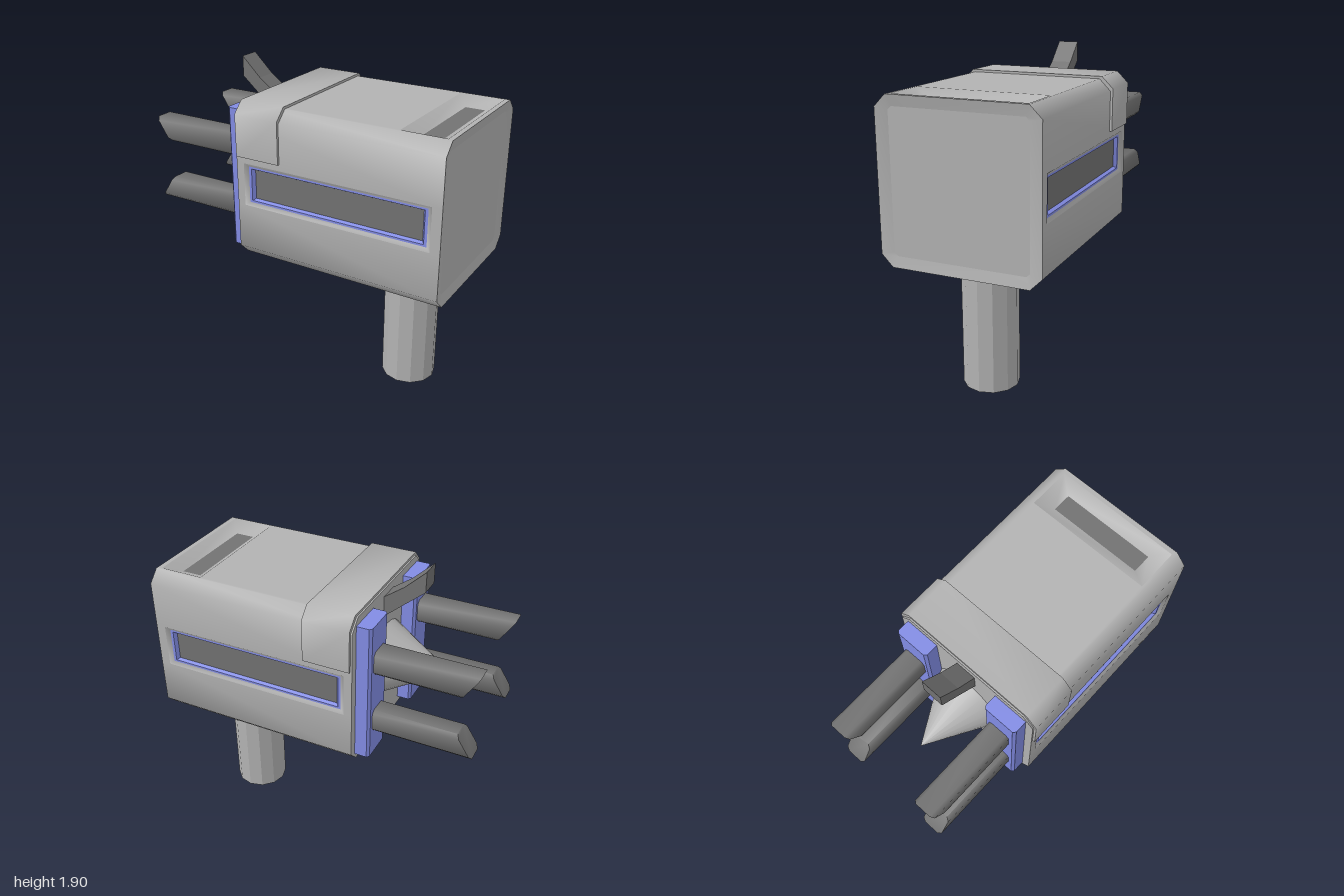
import * as THREE from 'three';
import { toCreasedNormals } from 'three/addons/utils/BufferGeometryUtils.js';

const material = (name, color, side = THREE.FrontSide) => {
  const m = new THREE.MeshStandardMaterial({ color, side });
  m.name = name;
  return m;
};

export function createModel() {
  const grey = material('light grey', 0xb2b2b2, THREE.DoubleSide);
  const dark = material('dark grey', 0x727272);
  const blue = material('periwinkle blue', 0x828ce4);
  const root = new THREE.Group();
  const CY = 1.2625; // height of the body axis

  const add = (name, geo, mat, parent = root) => {
    const mesh = new THREE.Mesh(geo, mat);
    mesh.name = name;
    parent.add(mesh);
    return mesh;
  };

  // Surface between two rows of points
  const loft = (a, b) => {
    const pos = [];
    for (let i = 0; i < a.length - 1; i++) {
      for (const p of [a[i], a[i + 1], b[i + 1], a[i], b[i + 1], b[i]]) pos.push(...p);
    }
    const geo = new THREE.BufferGeometry();
    geo.setAttribute('position', new THREE.Float32BufferAttribute(pos, 3));
    geo.computeVertexNormals();
    return toCreasedNormals(geo, 1);
  };
  // Strip along x with a [z, y] section
  const strip = (name, section, x0, x1) => add(name,
    loft(section.map(([z, y]) => [x0, y, z]), section.map(([z, y]) => [x1, y, z])), grey);

  // Corners of a square with cut corners
  const cutSquare = (w, h, c) => [[w, -h + c], [w, h - c], [w - c, h], [-w + c, h],
    [-w, h - c], [-w, -h + c], [-w + c, -h], [w - c, -h]];
  const toShape = pts => new THREE.Shape(pts.map(([x, y]) => new THREE.Vector2(x, y)));
  const extrude = (pts, depth) => new THREE.ExtrudeGeometry(toShape(pts), { depth, bevelEnabled: false });

  // Body shell, leaving openings for the sunken panels
  const X0 = -0.31, W = 0.485, TOP = 1.745, BOT = 0.78;
  strip('bodyLower', [[W, 1.13], [W, 0.85], [0.415, BOT], [-0.415, BOT], [-W, 0.85], [-W, 1.13]], X0, 1);
  strip('bodyFrontShoulder', [[0.4, TOP], [0.415, TOP], [W, 1.675], [W, 1.395]], X0, 1);
  strip('bodyBackShoulder', [[-W, 1.395], [-W, 1.675], [-0.415, TOP], [-0.4, TOP]], X0, 1);
  for (const [a, b] of [[X0, 0.7], [0.97, 1]]) strip('bodyTop', [[-0.4, TOP], [0.4, TOP]], a, b);
  for (const [a, b] of [[X0, -0.26], [0.94, 1]]) {
    strip('bodyFrontSide', [[W, 1.395], [W, 1.13]], a, b);
    strip('bodyBackSide', [[-W, 1.13], [-W, 1.395]], a, b);
  }

  // Body ends: plain cap on one side, rim and inset plate on the other
  const endLoop = (x, w, h, c) => {
    const pts = cutSquare(w, h, c).map(([z, y]) => [x, CY + y, z]).reverse();
    return [...pts, pts[0]];
  };
  const fan = (loop, x) => loft(loop, loop.map(() => [x, CY, 0]));
  const inner = endLoop(0.985, 0.41, 0.4175, 0.02);
  add('endRim', loft(endLoop(1, W, 0.4825, 0.07), inner), grey);
  add('endPlate', fan(inner, 0.985), grey);
  add('frontCap', fan(endLoop(X0, W, 0.4825, 0.07).reverse(), X0), grey);

  // Sunken rectangular panel: [halfWidth, halfHeight, depth] steps, then a floor
  const rect = ([w, h, d]) => [[-w, -h, d], [w, -h, d], [w, h, d], [-w, h, d], [-w, -h, d]];
  const recess = (name, steps, mats) => {
    const g = new THREE.Group();
    g.name = name;
    mats.forEach((m, i) => add(name + 'Frame', loft(rect(steps[i]), rect(steps[i + 1])), m, g));
    const [w, h, d] = steps[steps.length - 1];
    add(name + 'Floor', new THREE.PlaneGeometry(2 * w, 2 * h), dark, g).position.z = d;
    root.add(g);
    return g;
  };
  for (const turn of [0, Math.PI]) {
    const panel = recess('sidePanel', [[0.6, 0.1325, W], [0.575, 0.1125, W - 0.015],
      [0.557, 0.1, W - 0.015], [0.542, 0.09, W - 0.035]], [grey, blue, blue]);
    panel.position.set(0.34, CY, 0);
    panel.rotation.y = turn;
  }
  const slot = recess('topSlot', [[0.135, 0.4, 0], [0.06, 0.3, -0.05]], [grey]);
  slot.position.set(0.835, TOP, 0);
  slot.rotation.x = -Math.PI / 2;

  // Saddle collar over the top of the body
  const saddle = (w, y, c) => [[-w, 1.435], [-w, y - c], [-w + c, y], [w - c, y], [w, y - c], [w, 1.435]];
  const collar = extrude([...saddle(0.5, 1.76, 0.07), ...saddle(0.478, 1.738, 0.07).reverse()], 0.29);
  collar.rotateY(Math.PI / 2);
  add('collar', toCreasedNormals(collar, 1), grey).position.x = -0.3;

  // Handle post
  const post = new THREE.CylinderGeometry(0.168, 0.168, 0.8, 12).toNonIndexed();
  post.computeVertexNormals();
  add('handle', post, grey).position.set(0.632, 0.4, 0);

  // Pointed cone between the bars
  const cone = new THREE.ConeGeometry(0.23, 0.41, 24);
  cone.rotateZ(Math.PI / 2);
  add('cone', cone, grey).position.set(-0.515, CY, 0);

  // Blue bars, each carrying two rods with slanted tips
  for (const s of [1, -1]) {
    const bar = extrude([[-0.4, -0.095], [-0.385, -0.11], [-0.3, -0.11],
      [-0.3, 0.11], [-0.385, 0.11], [-0.4, 0.095]], 0.875);
    bar.rotateX(-Math.PI / 2);
    add('blueBar', bar, blue).position.set(0, 0.825, s * 0.325);

    for (const [y, dir] of [[1.065, -1], [1.457, 1]]) {
      const rod = extrude(cutSquare(0.073, 0.073, 0.022), 0.65);
      rod.rotateY(-Math.PI / 2);
      const p = rod.attributes.position;
      for (let i = 0; i < p.count; i++) {
        if (p.getX(i) < -0.5) p.setX(i, p.getX(i) + 0.095 * (0.5 - dir * p.getY(i) / 0.146));
      }
      add('rod', toCreasedNormals(rod, 1), dark).position.set(-0.35, y, s * 0.323);
    }
  }

  // Bent hook rising from the top of the open end
  const hook = extrude([[-0.3, 1.56], [-0.3, 1.69], [-0.43, 1.785], [-0.555, 1.905],
    [-0.555, 1.78], [-0.42, 1.665]], 0.13);
  add('hook', hook, dark).position.z = -0.065;

  return root;
}
